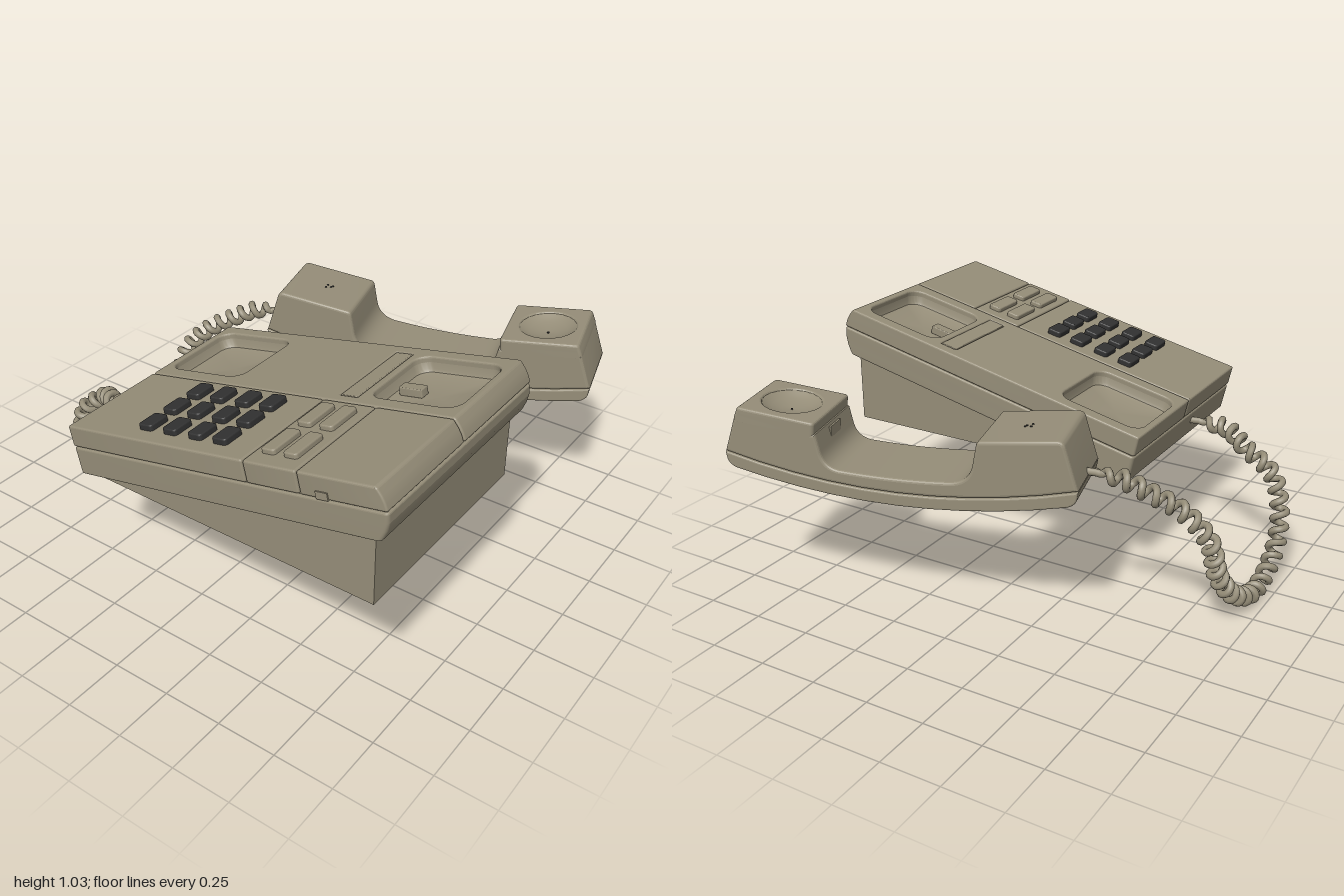
import * as THREE from 'three';
import { toCreasedNormals } from 'three/addons/utils/BufferGeometryUtils.js';

export function createModel() {
  const shell = new THREE.MeshStandardMaterial({ color: 0x958d78, side: THREE.DoubleSide });
  shell.name = 'warm grey plastic';
  const dark = new THREE.MeshStandardMaterial({ color: 0x313131 });
  dark.name = 'charcoal keys';

  const model = new THREE.Group();
  model.name = 'deskTelephone';

  function add(parent, name, geo, mat = shell, x = 0, y = 0, z = 0) {
    const mesh = new THREE.Mesh(geo, mat);
    mesh.name = name;
    mesh.position.set(x, y, z);
    parent.add(mesh);
  }

  // Rounded rectangle on the ground plane (shape y is -z)
  function roundRect(x0, x1, z0, z1, r, s = new THREE.Shape()) {
    const a = -z1, b = -z0, q = Math.PI / 2;
    s.absarc(x1 - r, b - r, r, 0, q);
    s.absarc(x0 + r, b - r, r, q, 2 * q);
    s.absarc(x0 + r, a + r, r, 2 * q, 3 * q);
    s.absarc(x1 - r, a + r, r, 3 * q, 4 * q);
    s.closePath();
    return s;
  }

  const extrude = (shape, h, b, steps = 1) => new THREE.ExtrudeGeometry(shape, {
    depth: h - 2 * b, steps, curveSegments: 10, bevelEnabled: b > 0,
    bevelThickness: b, bevelSize: b, bevelOffset: -b, bevelSegments: 3,
  });

  // Horizontal slab from y0 to y1 with softened edges; pull slopes the face in front of zMin
  function slab(shape, y0, y1, b, pull, zMin = 0.69) {
    const g = extrude(shape, y1 - y0, b, 3).rotateX(-Math.PI / 2).translate(0, y0 + b, 0);
    if (pull) {
      const p = g.attributes.position;
      for (let i = 0; i < p.count; i++) {
        if (p.getZ(i) > zMin) p.setZ(i, p.getZ(i) - pull(p.getY(i)));
      }
    }
    return toCreasedNormals(g, 0.22);
  }

  // Side profile (z, y) extruded across the width, centred on x
  function profile(shape, width, b) {
    const g = extrude(shape, width, b).translate(0, 0, b - width / 2).rotateY(-Math.PI / 2);
    return toCreasedNormals(g, 0.25);
  }

  // ---- Wedge base: open underneath ----
  const wall = new THREE.Shape();
  wall.moveTo(0.91, 0.525);
  wall.lineTo(0.91, 0.85);
  wall.lineTo(-0.43, 0.555);
  wall.lineTo(-0.43, 0.525);
  wall.closePath();
  for (const x of [-0.88, 0.043]) add(model, 'baseSideWall', profile(wall, 0.014, 0), shell, x);
  add(model, 'baseFrontWall', new THREE.BoxGeometry(0.937, 0.325, 0.014), shell, -0.4185, 0.6875, 0.904);

  // ---- Sloping console: top surface is local y = 0 ----
  const deck = new THREE.Group();
  deck.name = 'console';
  deck.position.set(0, 0.89, 0.24);
  deck.rotation.x = -0.218;
  model.add(deck);

  const left = -0.914, right = 0.075, back = -0.753, front = 0.725;
  const rim = roundRect(left, right, back, front, 0.015);
  rim.holes.push(roundRect(-0.88, 0.04, -0.715, 0.645, 0.01, new THREE.Path()));
  add(deck, 'lowerShell', slab(rim, -0.212, -0.094, 0.008, y => 0.05 * ((y + 0.094) / 0.118) ** 2));
  add(deck, 'seamFloor', new THREE.BoxGeometry(0.965, 0.012, 1.445), shell, -0.4195, -0.095, -0.014);

  const slope = y => 0.03 * ((y + 0.09) / 0.09) ** 2;
  const panel = (name, shape) => add(deck, name, slab(shape, -0.09, 0, 0.008, slope));
  for (const [name, z0, z1] of [['keypadPanel', back, 0.131], ['buttonPanel', 0.135, 0.367],
    ['frontPanel', 0.371, front]]) {
    panel(name, roundRect(left, -0.422, z0, z1, 0.009));
  }
  // Shallow floors of the dividing grooves
  add(deck, 'grooveFloor', new THREE.BoxGeometry(0.03, 0.08, 1.41), shell, -0.42, -0.052, -0.035);
  for (const z of [0.133, 0.369]) {
    add(deck, 'grooveFloor', new THREE.BoxGeometry(0.48, 0.08, 0.03), shell, -0.664, -0.052, z);
  }

  // Cradle side with two hollows and a framed label strip
  const cradle = roundRect(-0.418, right, back, front, 0.009);
  const hollows = [[-0.722, -0.341], [0.287, 0.665]];
  for (const [z0, z1] of hollows) {
    cradle.holes.push(roundRect(-0.353, 0.015, z0, z1, 0.06, new THREE.Path()));
  }
  cradle.holes.push(roundRect(-0.372, 0.02, 0.174, 0.253, 0.006, new THREE.Path()));
  panel('cradlePanel', cradle);
  add(deck, 'labelStrip', slab(roundRect(-0.37, 0.018, 0.176, 0.251, 0.006), -0.09, -0.001, 0.003));

  // Hollow floor: the outline shrinking through a few levels
  function cup(w, d, r) {
    const outline = roundRect(-w / 2, w / 2, -d / 2, d / 2, r).getPoints(6);
    const levels = [[1.01, -0.012], [0.98, -0.05], [0.95, -0.062], [0.88, -0.068], [0, -0.07]];
    const n = outline.length, pos = [], idx = [];
    levels.forEach(([k, y], j) => outline.forEach((p, i) => {
      pos.push(p.x * k, y, -p.y * k);
      if (j === 0) return;
      const a = (j - 1) * n + i, b = (j - 1) * n + (i + 1) % n;
      idx.push(a, b, a + n, b, b + n, a + n);
    }));
    const g = new THREE.BufferGeometry();
    g.setAttribute('position', new THREE.Float32BufferAttribute(pos, 3));
    g.setIndex(idx);
    return toCreasedNormals(g, 0.6);
  }
  for (const [z0, z1] of hollows) {
    add(deck, 'cradleHollow', cup(0.368, z1 - z0, 0.06), shell, -0.169, 0, (z0 + z1) / 2);
  }
  add(deck, 'hookTab', slab(roundRect(-0.198, -0.15, 0.315, 0.418, 0.006), -0.07, -0.035, 0.004));
  add(deck, 'volumeSlider', new THREE.BoxGeometry(0.02, 0.03, 0.05), shell, -0.909, -0.075, 0.467);

  // Dark keypad, four rows of three
  const key = slab(roundRect(-0.05, 0.05, -0.034, 0.034, 0.014), -0.11, 0.024, 0.006);
  for (const z of [-0.395, -0.272, -0.146, -0.027]) {
    for (const x of [-0.795, -0.66, -0.525]) add(deck, 'key', key, dark, x, 0, z);
  }
  // Wide buttons below the keypad
  const button = slab(roundRect(-0.081, 0.081, -0.031, 0.031, 0.014), -0.11, 0.02, 0.006);
  for (const z of [0.199, 0.297]) {
    for (const x of [-0.765, -0.555]) add(deck, 'wideButton', button, shell, x, 0, z);
  }

  // ---- Handset lying beside the console ----
  const handset = new THREE.Group();
  handset.name = 'handset';
  handset.position.set(0.572, 0, 0.26);
  handset.rotation.y = 0.259;
  model.add(handset);

  const width = 0.338;
  const upper = new THREE.Shape();
  upper.moveTo(-0.722, 0.68);
  upper.lineTo(-0.672, 0.85);
  upper.quadraticCurveTo(-0.665, 0.874, -0.64, 0.872);
  upper.lineTo(-0.345, 0.838);
  upper.quadraticCurveTo(-0.33, 0.836, -0.327, 0.82);
  upper.lineTo(-0.312, 0.74);
  upper.quadraticCurveTo(-0.3, 0.665, -0.22, 0.655);
  upper.quadraticCurveTo(0, 0.635, 0.24, 0.65);
  upper.quadraticCurveTo(0.3, 0.66, 0.312, 0.72);
  upper.lineTo(0.327, 0.79);
  upper.lineTo(0.672, 0.825);
  upper.lineTo(0.722, 0.68);
  upper.quadraticCurveTo(0, 0.486, -0.722, 0.68);
  add(handset, 'handsetUpperShell', profile(upper, width, 0.012));

  const lower = new THREE.Shape();
  lower.moveTo(-0.723, 0.677);
  lower.quadraticCurveTo(0, 0.483, 0.723, 0.677);
  lower.lineTo(0.718, 0.645);
  lower.quadraticCurveTo(0.71, 0.62, 0.68, 0.61);
  lower.quadraticCurveTo(0, 0.448, -0.68, 0.61);
  lower.quadraticCurveTo(-0.71, 0.62, -0.718, 0.645);
  lower.closePath();
  add(handset, 'handsetLowerShell', profile(lower, width, 0.007));

  // Earpiece with a round dish, its end sloping on from the shell below
  const ear = new THREE.Group();
  ear.name = 'earpiece';
  ear.position.set(0, 0.854, 0.49);
  ear.rotation.x = -0.108;
  handset.add(ear);
  const plate = roundRect(-width / 2, width / 2, -0.163, 0.18, 0.014);
  plate.holes.push(new THREE.Path().absarc(0, -0.008, 0.119, 0, Math.PI * 2));
  add(ear, 'earpieceRim', slab(plate, -0.07, 0, 0.01, y => Math.max(0, 0.3 * (y + 0.05)), 0.145));
  const dish = [[0, -0.04], [0.04, -0.037], [0.08, -0.027], [0.105, -0.015], [0.127, -0.002]]
    .map(p => new THREE.Vector2(...p));
  add(ear, 'earpieceDish', new THREE.LatheGeometry(dish, 40), shell, 0, 0, 0.008);
  add(ear, 'earpieceHole', new THREE.CylinderGeometry(0.005, 0.005, 0.004, 8), dark, 0, -0.038, 0.008);
  add(handset, 'hookSlot', new THREE.BoxGeometry(0.09, 0.045, 0.008), shell, 0, 0.755, 0.319);

  // Mouthpiece holes
  for (const [x, z] of [[-0.012, -0.5], [0.012, -0.5], [0, -0.48], [0.012, -0.475]]) {
    add(handset, 'mouthpieceHole', new THREE.CylinderGeometry(0.005, 0.005, 0.006, 8), dark,
      x, 0.838 + (-0.345 - z) * 0.115, z);
  }

  // ---- Coiled cord hanging behind ----
  const path = new THREE.CatmullRomCurve3([
    [-0.525, 0.59, -0.45], [-0.535, 0.59, -0.54], [-0.52, 0.585, -0.64], [-0.46, 0.54, -0.75],
    [-0.475, 0.44, -0.87], [-0.45, 0.3, -0.925], [-0.36, 0.15, -0.947], [-0.16, 0.051, -0.943],
    [0.02, 0.11, -0.92], [0.14, 0.25, -0.89], [0.2, 0.42, -0.87], [0.245, 0.54, -0.78],
    [0.305, 0.62, -0.66], [0.355, 0.68, -0.54], [0.385, 0.69, -0.42],
  ].map(p => new THREE.Vector3(...p)));
  const steps = 600, turns = 35;
  const frames = path.computeFrenetFrames(steps);
  const coil = [];
  for (let i = 0; i <= steps; i++) {
    const t = i / steps, a = t * turns * Math.PI * 2;
    const r = 0.029 * THREE.MathUtils.smoothstep(Math.min(t, 1 - t), 0.02, 0.06);
    coil.push(path.getPointAt(t)
      .addScaledVector(frames.normals[i], r * Math.cos(a))
      .addScaledVector(frames.binormals[i], r * Math.sin(a)));
  }
  add(model, 'coiledCord',
    new THREE.TubeGeometry(new THREE.CatmullRomCurve3(coil), 1100, 0.0155, 8));

  return model;
}
